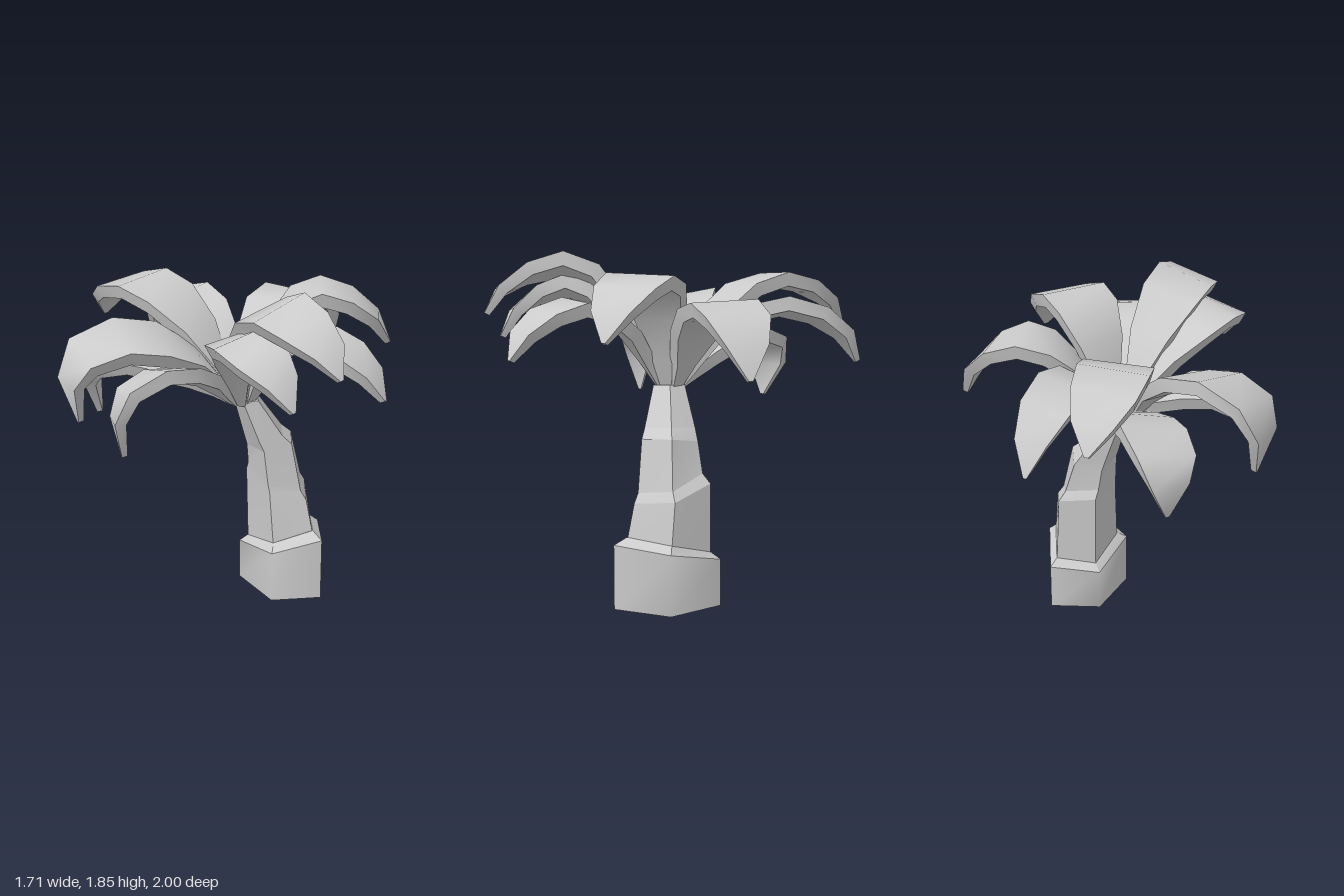
import * as THREE from 'three';
import { toCreasedNormals } from 'three/addons/utils/BufferGeometryUtils.js';

const V = (x, y, z) => new THREE.Vector3(x, y, z);

// Skin a list of equally sized rings and close both ends
function loft(rings, crease) {
  const n = rings[0].length, last = rings.length - 1, pos = [];
  const tri = (...pts) => pts.forEach(p => pos.push(p.x, p.y, p.z));
  for (let i = 0; i < last; i++) {
    for (let j = 0; j < n; j++) {
      const k = (j + 1) % n;
      const a = rings[i][j], b = rings[i + 1][j], c = rings[i + 1][k], d = rings[i][k];
      tri(a, b, d);
      tri(b, c, d);
    }
  }
  for (let j = 1; j < n - 1; j++) {
    tri(rings[0][0], rings[0][j], rings[0][j + 1]);
    tri(rings[last][0], rings[last][j + 1], rings[last][j]);
  }
  const geo = new THREE.BufferGeometry();
  geo.setAttribute('position', new THREE.Float32BufferAttribute(pos, 3));
  return toCreasedNormals(geo, crease);
}

// Five-sided ring: centre, radii, and tilt of its height along x and z
function pentagon([cx, cy, cz, rx, rz, tx = 0, tz = 0]) {
  return Array.from({ length: 5 }, (_, i) => {
    const c = Math.cos(i * Math.PI * 0.4), s = Math.sin(i * Math.PI * 0.4);
    return V(cx + rx * c, cy + tx * c + tz * s, cz + rz * s);
  });
}

// Stations along a leaf: distance, rise to the peak, drop to the tip,
// half width, thickness, share of the inward curl
const STATIONS = [
  [0, 0, 0, 0.15, 0.04, 0],
  [0.08, 0.3, 0, 0.36, 0.06, 0],
  [0.2, 0.65, 0, 0.74, 0.07, 0],
  [0.38, 0.91, 0, 0.98, 0.075, 0],
  [0.58, 1, 0, 1, 0.075, 0],
  [0.78, 1, 0.17, 0.9, 0.07, 0],
  [0.93, 1, 0.52, 0.58, 0.06, 0.4],
  [1, 1, 1, 0.06, 0.03, 1],
];

function leafGeometry({ mid, end, peak, tip, width, roll = 0, curl = 0 }) {
  const crown = new THREE.Vector2(0.09, 0.03);
  const e = new THREE.Vector2(...end), m = new THREE.Vector2(...mid);
  const start = crown.clone().add(e.clone().sub(crown).setLength(0.025));
  const control = m.clone().multiplyScalar(2).sub(start.clone().add(e).multiplyScalar(0.5));
  const plan = new THREE.QuadraticBezierCurve(start, control, e);
  const centres = STATIONS.map(([s, rise, drop, , , share]) => {
    const p = plan.getPoint(s - curl * share);
    return V(p.x, 1.13 + (peak - 1.13) * rise - (peak - tip) * drop, p.y);
  });
  const rings = STATIONS.map(([s, , , w, t], i) => {
    const h = plan.getTangent(s);
    const along = centres[Math.min(i + 1, centres.length - 1)].clone()
      .sub(centres[Math.max(i - 1, 0)]).normalize();
    const side = V(h.x, 0, h.y).cross(V(0, 1, 0)).normalize();
    side.applyAxisAngle(along, -roll * Math.min(1, i / 3));
    const up = side.clone().cross(along).normalize();
    const at = (a, b) => centres[i].clone().addScaledVector(side, a).addScaledVector(up, b);
    const hw = width * w;
    return [at(hw, 0), at(-hw, 0), at(-hw * 0.92, -t), at(hw * 0.92, -t)];
  });
  return loft(rings, 1);
}

// mid and end are plan positions (x, z)
const LEAVES = [
  { mid: [-0.04, 0.52], end: [0.06, 1.0], peak: 1.8, tip: 1.53, width: 0.16, roll: -0.33 },
  { mid: [-0.2, 0.48], end: [-0.15, 0.92], peak: 1.67, tip: 1.38, width: 0.16, roll: -0.3 },
  { mid: [0.21, 0.47], end: [0.41, 0.88], peak: 1.61, tip: 1.33, width: 0.16 },
  { mid: [0.4, 0.19], end: [0.76, 0.43], peak: 1.76, tip: 1.46, width: 0.19 },
  { mid: [0.48, -0.17], end: [0.87, -0.27], peak: 1.63, tip: 1.28, width: 0.19 },
  { mid: [0.09, -0.5], end: [0.08, -1.0], peak: 1.58, tip: 1.25, width: 0.14, roll: 0.25 },
  { mid: [-0.16, -0.5], end: [-0.24, -0.98], peak: 1.7, tip: 1.42, width: 0.18, roll: 0.1 },
  { mid: [-0.27, -0.36], end: [-0.62, -0.73], peak: 1.36, tip: 0.97, width: 0.18, roll: 0.2, curl: 0.2 },
  { mid: [-0.46, -0.09], end: [-1.0, -0.22], peak: 1.55, tip: 1.1, width: 0.2, roll: 0.2, curl: 0.2 },
  { mid: [-0.39, 0.1], end: [-0.86, 0.11], peak: 1.41, tip: 0.98, width: 0.13, roll: -0.25, curl: 0.2 },
];

export function createModel() {
  const model = new THREE.Group();
  const material = new THREE.MeshStandardMaterial({ color: 0xcccccc });
  const add = (name, geometry, parent = model) => {
    const mesh = new THREE.Mesh(geometry, material);
    mesh.name = name;
    parent.add(mesh);
  };

  // Wide foot with soft sides, and a sloping bevelled rim above it
  const footTop = [0.335, 0.293, 0.08, 0.227, 0.295, 0.04, 0.05];
  add('trunkBase', loft([
    [0.335, 0.005, 0.08, 0.227, 0.295],
    footTop,
  ].map(pentagon), 1.3));
  add('baseRim', loft([
    footTop,
    [0.335, 0.33, 0.07, 0.18, 0.232, 0.04, 0.05],
  ].map(pentagon), 0.3));

  // Leaning trunk with two stepped joints
  add('trunk', loft([
    [0.335, 0.315, 0.07, 0.18, 0.23, 0.04, 0.05],
    [0.318, 0.62, 0.05, 0.168, 0.21, -0.03, -0.05],
    [0.3, 0.67, 0.058, 0.152, 0.178, -0.03, -0.05],
    [0.262, 0.87, 0.055, 0.125, 0.155, 0.03, 0.01],
    [0.222, 0.93, 0.05, 0.106, 0.14, 0.02, 0],
    [0.115, 1.14, 0.04, 0.065, 0.088, 0.01, 0],
  ].map(pentagon), 0.2));

  // Crown of arching leaves
  const crown = new THREE.Group();
  crown.name = 'crown';
  LEAVES.forEach((leaf, i) => add(`leaf${i + 1}`, leafGeometry(leaf), crown));
  model.add(crown);
  return model;
}
